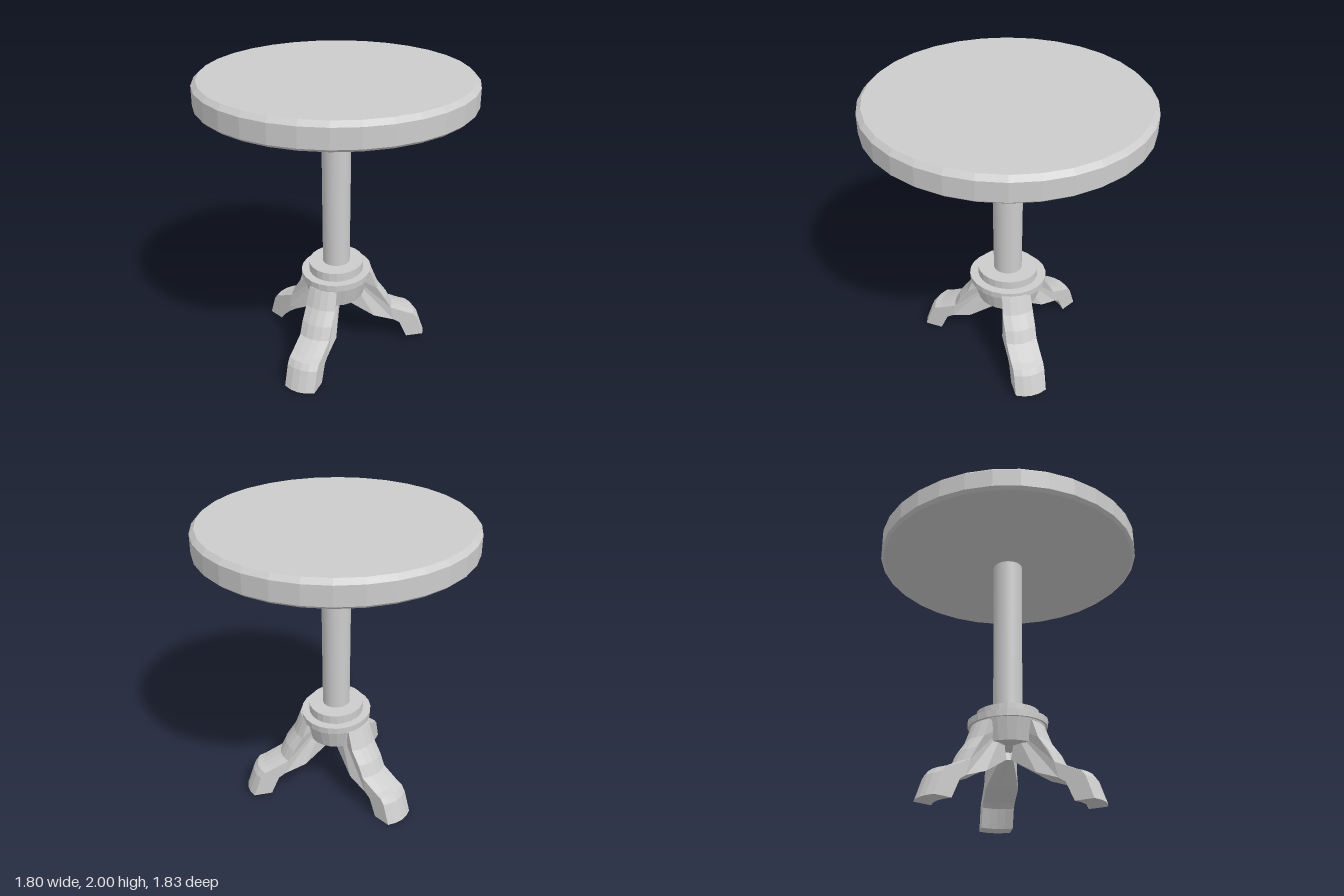
import * as THREE from 'three';

// Give every face its own normal for a faceted look
function faceted(geometry) {
  const flat = geometry.index ? geometry.toNonIndexed() : geometry;
  flat.computeVertexNormals();
  return flat;
}

function lathe(profile, sides) {
  return new THREE.LatheGeometry(profile.map(([r, y]) => new THREE.Vector2(r, y)), sides);
}

// Curved leg: side profile extruded across its width, then bowed and tapered
function legGeometry() {
  const profile = [
    [0.05, 0.345], [0.28, 0.215], [0.43, 0.16], [0.475, 0.13], [0.53, 0.005],
    [0.655, 0.005], [0.605, 0.15], [0.575, 0.19], [0.53, 0.205], [0.405, 0.265],
    [0.365, 0.35], [0.30, 0.44], [0.25, 0.565], [0.07, 0.565], [0.07, 0.42],
  ];
  const shape = new THREE.Shape(profile.map(([r, y]) => new THREE.Vector2(r, y)));
  const geometry = new THREE.ExtrudeGeometry(shape, { depth: 2, steps: 4, bevelEnabled: false });
  const p = geometry.attributes.position;
  for (let i = 0; i < p.count; i++) {
    const r = p.getX(i);
    const u = p.getZ(i) - 1;
    const halfWidth = Math.min(0.108, 0.03 + 0.28 * r);
    const bow = 0.03 * Math.min(1, r / 0.3);
    p.setX(i, r - bow * u * u);
    p.setZ(i, u * halfWidth);
  }
  return faceted(geometry);
}

export function createModel() {
  const group = new THREE.Group();
  const grey = new THREE.MeshStandardMaterial({ color: 0xcccccc });
  grey.name = 'lightGrey';

  function add(name, geometry) {
    const mesh = new THREE.Mesh(geometry, grey);
    mesh.name = name;
    group.add(mesh);
    return mesh;
  }

  // Round top with bevelled rim and slightly dished underside
  const top = add('tableTop', faceted(lathe(
    [[0, 1.805], [0.877, 1.826], [0.898, 1.845], [0.898, 1.97], [0.868, 2], [0, 2]], 32)));
  top.scale.z = 1.017;

  // Smooth, gently tapered column
  const column = add('column', new THREE.CylinderGeometry(0.098, 0.093, 1.2, 32, 1, true));
  column.position.y = 1.24;
  column.scale.z = 1.05;

  // Stepped collar and tapered hub
  const collar = add('collar', faceted(lathe(
    [[0, 0.43], [0.188, 0.43], [0.225, 0.575], [0.238, 0.575], [0.24, 0.62],
      [0.187, 0.62], [0.187, 0.68], [0, 0.68]], 24)));
  collar.scale.z = 1.12;

  // Three splayed legs: bearing in degrees from +x towards +z, and lift
  const leg = legGeometry();
  for (const [name, bearing, lift] of [
    ['frontLeg', 100, 0], ['rightSideLeg', 214, 0], ['leftSideLeg', -26, 0.035],
  ]) {
    const mesh = add(name, leg);
    mesh.rotation.y = -THREE.MathUtils.degToRad(bearing);
    mesh.position.y = lift - 0.005;
  }

  return group;
}
